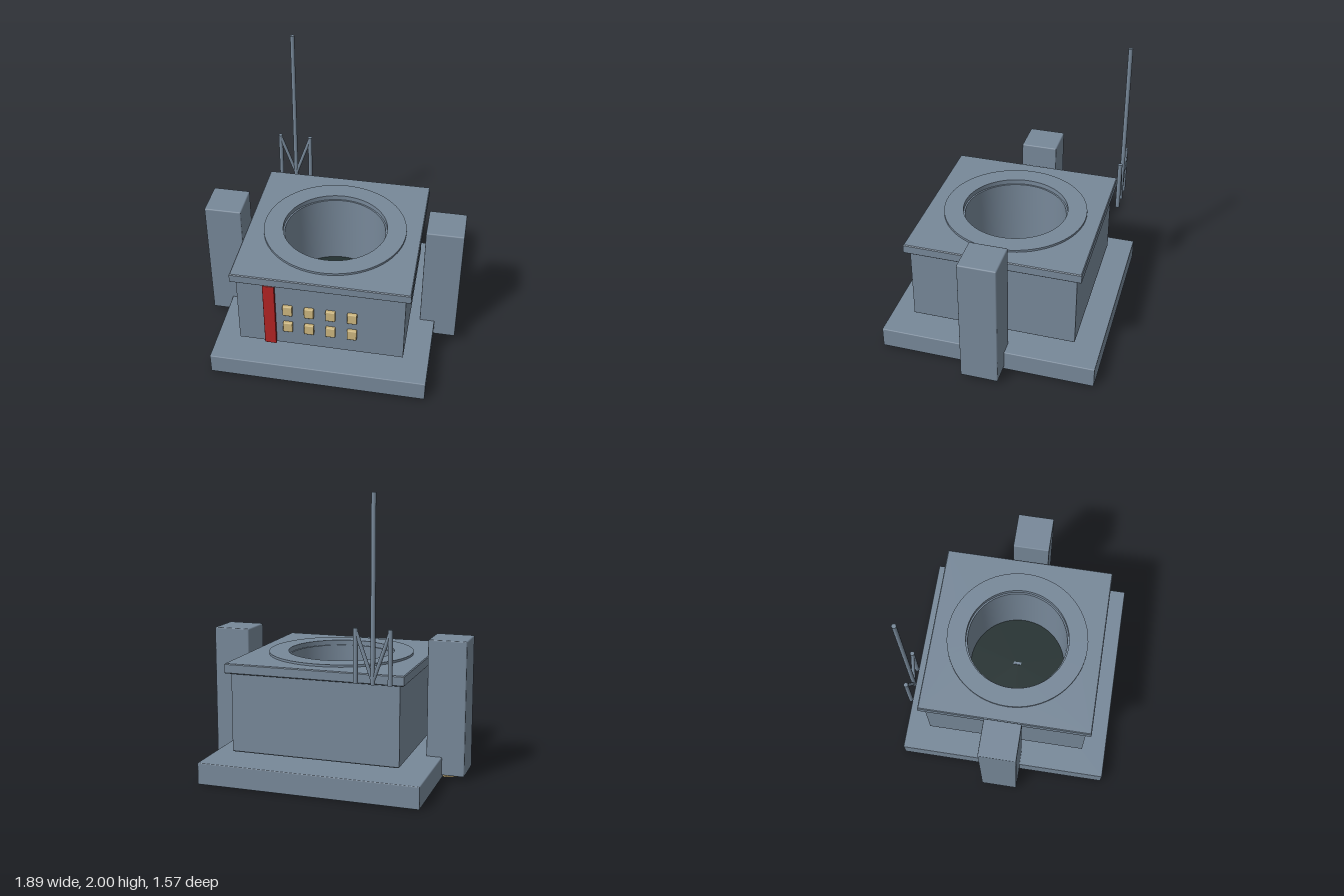
import * as THREE from 'three';
import { toCreasedNormals } from 'three/addons/utils/BufferGeometryUtils.js';
import { RoundedBoxGeometry } from 'three/addons/geometries/RoundedBoxGeometry.js';

export function createModel() {
  const root = new THREE.Group();
  const mat = (name, color) => {
    const m = new THREE.MeshStandardMaterial({ color });
    m.name = name;
    return m;
  };
  const slate = mat('slate grey', 0x778899);
  const red = mat('banner red', 0xb22424);
  const gold = mat('pale gold', 0xcdb77f);
  const dark = mat('dark teal', 0x222f2f);

  const add = (name, geometry, material, x = 0, y = 0, z = 0) => {
    const mesh = new THREE.Mesh(geometry, material);
    mesh.name = name;
    mesh.position.set(x, y, z);
    root.add(mesh);
    return mesh;
  };
  const block = (w, h, d, r = 0.007) => new RoundedBoxGeometry(w, h, d, 1, r);

  // Square slab with a round hole, standing on y = 0
  const holedSlab = (half, height, hole) => {
    const b = 0.006;
    const shape = new THREE.Shape([
      new THREE.Vector2(-half, -half), new THREE.Vector2(half, -half),
      new THREE.Vector2(half, half), new THREE.Vector2(-half, half),
    ]);
    shape.holes.push(new THREE.Path().absarc(0, 0, hole, 0, Math.PI * 2, true));
    return new THREE.ExtrudeGeometry(shape, {
      depth: height - 2 * b, bevelThickness: b, bevelSize: b, bevelOffset: -b,
      bevelSegments: 1, curveSegments: 48,
    }).rotateX(-Math.PI / 2).translate(0, b, 0);
  };

  // Base and main hollow body
  add('basePlate', block(1.565, 0.155, 1.565), slate, 0, 0.0775, 0);
  add('body', holedSlab(0.598, 0.56, 0.42), slate, 0, 0.2, 0);
  add('bodyBottom', new THREE.CylinderGeometry(0.45, 0.45, 0.04, 48), slate, 0, 0.222, 0);
  add('roofSlab', holedSlab(0.634, 0.07, 0.42), slate, 0, 0.76, 0);

  // Raised rim and the well wall
  const profile = [[0.522, 0.825], [0.522, 0.846], [0.382, 0.846], [0.382, 0.81], [0.37, 0.81], [0.37, 0.24]]
    .map(([r, y]) => new THREE.Vector2(r, y));
  add('rimAndWell', toCreasedNormals(new THREE.LatheGeometry(profile, 64), 0.6), slate);
  add('wellFloor', new THREE.CylinderGeometry(0.372, 0.372, 0.008, 64), dark, 0, 0.246, 0);
  add('floorMarker', new THREE.BoxGeometry(0.02, 0.008, 0.06), slate, 0, 0.254, 0);

  // Side towers with round feet
  for (const s of [1, -1]) {
    add('sideTower', block(0.272, 0.96, 0.272, 0.009), slate, s * 0.807, 0.504, 0);
    add('towerFoot', toCreasedNormals(new THREE.CylinderGeometry(0.095, 0.095, 0.026, 8), 0.3),
      gold, s * 0.807, 0.013, 0);
  }

  // Front banner and two rows of windows
  add('banner', block(0.085, 0.54, 0.025, 0.004), red, -0.36, 0.49, 0.622);
  for (const y of [0.38, 0.535]) {
    for (let i = 0; i < 4; i++) {
      add('window', block(0.07, 0.085, 0.03), gold, -0.233 + i * 0.154, y, 0.61);
    }
  }

  // Rear antenna: tall mast, two short posts and two braces
  const z = -0.695;
  const rod = (name, x0, y0, x1, y1, r) => {
    const a = new THREE.Vector3(x0, y0, z), b = new THREE.Vector3(x1, y1, z);
    const dir = b.clone().sub(a);
    const mesh = add(name, new THREE.CylinderGeometry(r, r, dir.length(), 12), slate);
    mesh.position.copy(a).add(b).multiplyScalar(0.5);
    mesh.quaternion.setFromUnitVectors(new THREE.Vector3(0, 1, 0), dir.normalize());
  };
  const mx = -0.442;
  rod('antennaMast', mx, 0.775, mx, 2, 0.016);
  for (const s of [1, -1]) {
    rod('antennaPost', mx + s * 0.116, 0.775, mx + s * 0.116, 1.14, 0.016);
    rod('antennaBrace', mx, 0.795, mx + s * 0.116, 1.125, 0.013);
  }
  return root;
}
